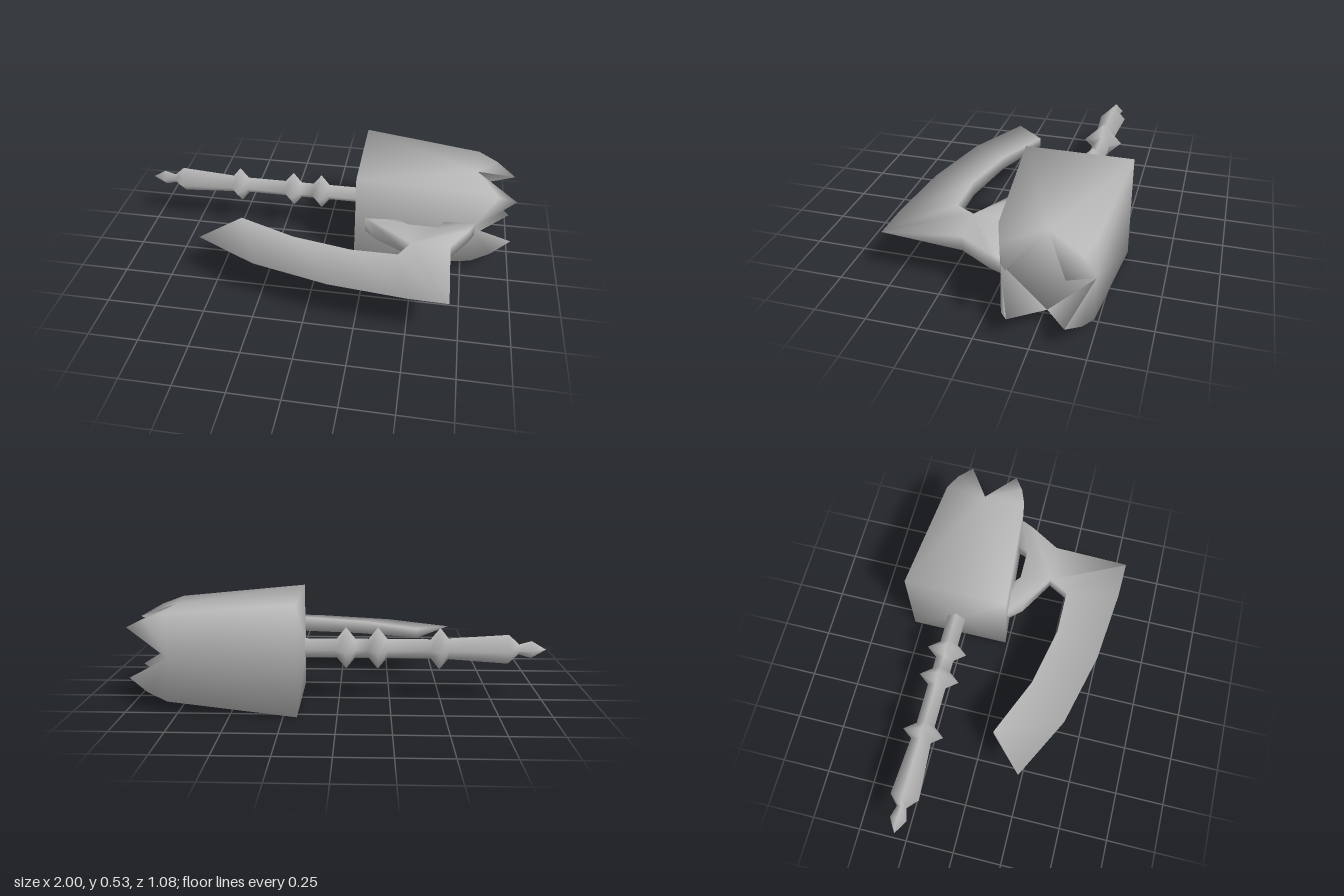
import * as THREE from 'three';

const AXIS_Y = 0.265, AXIS_Z = -0.278, BLADE_Y = 0.257;

// Smooth geometry with shared points
function fromFaces(points, faces) {
  const g = new THREE.BufferGeometry();
  g.setAttribute('position', new THREE.Float32BufferAttribute(points.flat(), 3));
  g.setIndex(faces.flat());
  g.computeVertexNormals();
  return g;
}

// Square head: tapering sides, shallow pyramid back and four corner prongs
function headGeometry() {
  const quadrant = [
    [0.185, 0.264, 0.264], // back corner
    [0.79, 0.212, 0],      // notch at the middle of a side
    [0.8, 0.212, 0.212],   // front corner
    [0.9, 0.178, 0.178],   // prong shoulder
    [1, 0.124, 0.124],     // prong tip
  ];
  const points = [], faces = [];
  for (let k = 0; k < 4; k++) {
    const c = Math.round(Math.cos(k * Math.PI / 2)), s = Math.round(Math.sin(k * Math.PI / 2));
    for (const [x, a, b] of quadrant) points.push([x, a * c - b * s, a * s + b * c]);
    const [K, B, C, M, T] = [0, 1, 2, 3, 4].map(i => k * 5 + i);
    const K2 = ((k + 1) % 4) * 5, A = K2 + 1, C2 = K2 + 2;
    faces.push([20, K2, K], [21, B, A]);
    faces.push([K, K2, A], [K, A, C], [K2, C2, A]);
    faces.push([C, A, M], [M, A, T], [B, C, M], [B, M, T], [T, A, B]);
  }
  points.push([0.16, 0, 0], [0.78, 0, 0]);
  return fromFaces(points, faces);
}

// Curved wedge blade with a sharp outer edge, running into a two-legged bracket
function bladeGeometry() {
  // inner x, inner z, outer x, outer z, half thickness
  const stations = [
    [-0.4, 0.065, -0.58, 0.235, 0.024],
    [-0.1, 0.195, -0.26, 0.4, 0.033],
    [0.2, 0.26, 0.12, 0.495, 0.038],
    [0.43, 0.26, 0.5, 0.535, 0.038],
    [0.485, 0.16, 0.685, 0.54, 0.038],
    [0.68, 0.15, 0.69, 0.54, 0.038],
  ];
  const points = [], faces = [];
  const wall = (t, b, t2, b2) => faces.push([b, t, t2], [b, t2, b2]);
  stations.forEach(([ix, iz, ox, oz, h], i) => {
    points.push([ix, h, iz], [ix, -h, iz], [ox, 0, oz]);
    if (i === stations.length - 1) return;
    const t = i * 3, b = t + 1, o = t + 2, t2 = t + 3, b2 = t + 4, o2 = t + 5;
    faces.push([t, o, o2], [t, o2, t2], [b, o2, o], [b, b2, o2]);
    if (i < 4) wall(t, b, t2, b2);
  });
  faces.push([0, 1, 2], [16, 15, 17]);

  // bracket outline (x, z) between the last two inner stations
  const legs = [
    [0.3, 0.05], [0.2, -0.06], [0.38, -0.065], [0.46, 0],
    [0.62, 0], [0.645, -0.065], [0.8, -0.065], [0.77, 0],
  ];
  const outline = [stations[4], ...legs, stations[5]].map(([x, z]) => new THREE.Vector2(x, z));
  const top = [12, ...legs.map((_, i) => 18 + i * 2), 15];
  for (const [x, z] of legs) points.push([x, 0.038, z], [x, -0.038, z]);
  for (const [a, b, c] of THREE.ShapeUtils.triangulateShape(outline, [])) {
    faces.push([top[a], top[c], top[b]], [top[a] + 1, top[b] + 1, top[c] + 1]);
  }
  for (let i = 0; i < top.length - 1; i++) wall(top[i], top[i] + 1, top[i + 1], top[i + 1] + 1);
  return fromFaces(points, faces);
}

// Four-sided shaft with pointed pommel and three collars
function shaftGeometry() {
  const profile = [[0, -1], [0.042, -0.93], [0.025, -0.87], [0.072, -0.82], [0.052, -0.53]];
  for (const x of [-0.49, -0.19, -0.035]) {
    if (x > -0.4) profile.push([0.047, x - 0.045]);
    profile.push([0.104, x], [0.047, x + 0.045]);
  }
  profile.push([0.047, 0.2]);
  const g = new THREE.LatheGeometry(profile.map(p => new THREE.Vector2(...p)), 4);
  return g.rotateZ(-Math.PI / 2);
}

export function createModel() {
  const model = new THREE.Group();
  model.name = 'bladedMace';
  const metal = new THREE.MeshStandardMaterial({ color: 0xb8b8b8 });
  metal.name = 'grey metal';

  const add = (name, geometry, y, z) => {
    const mesh = new THREE.Mesh(geometry, metal);
    mesh.name = name;
    mesh.position.set(0, y, z);
    model.add(mesh);
  };
  add('prongedHead', headGeometry(), AXIS_Y, AXIS_Z);
  add('shaft', shaftGeometry(), AXIS_Y, AXIS_Z);
  add('bladeAndBracket', bladeGeometry(), BLADE_Y, 0);
  return model;
}
